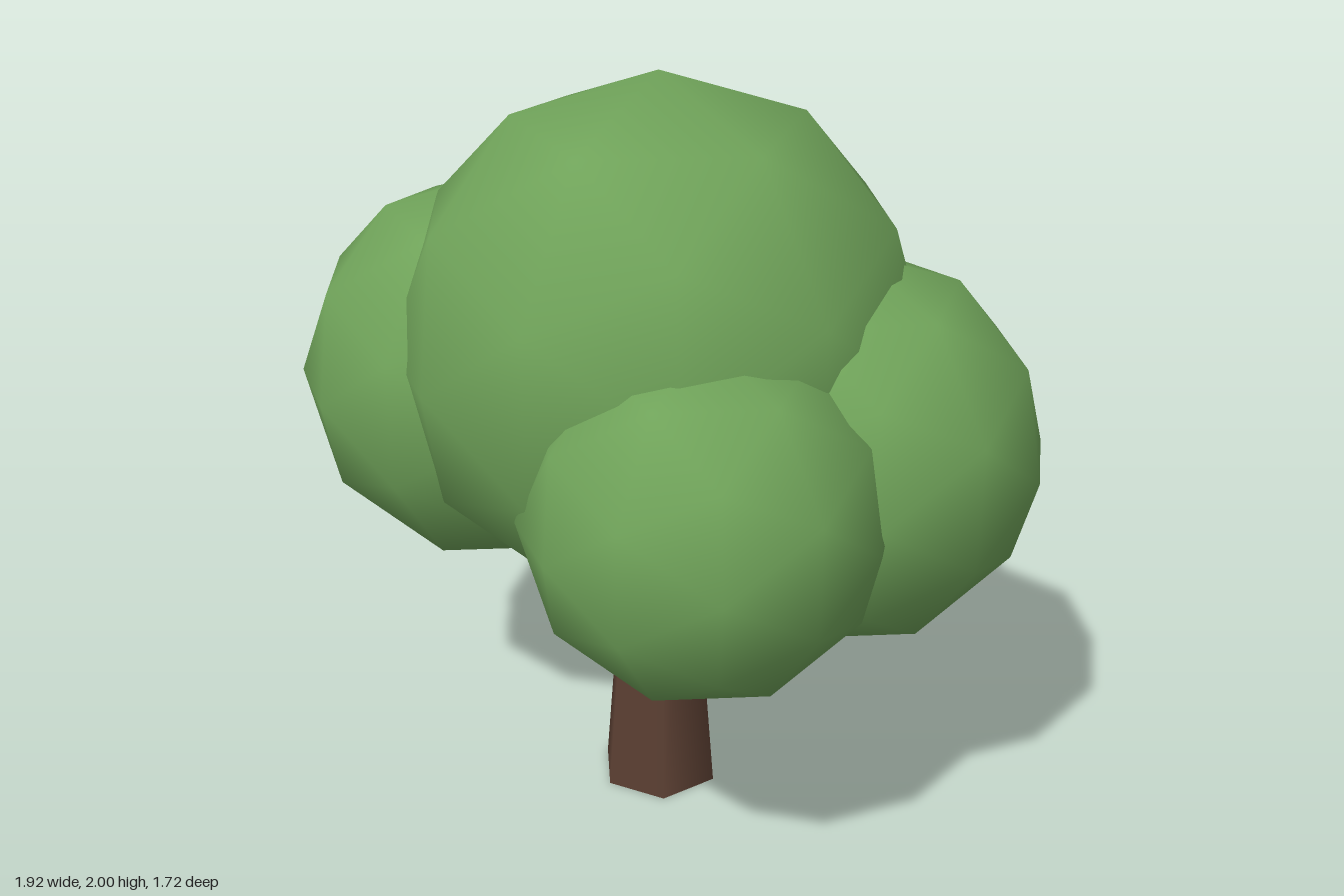
import * as THREE from 'three';

export function createModel() {
  const tree = new THREE.Group();
  tree.name = 'tree';
  const bark = new THREE.MeshStandardMaterial({ color: 0x5c4033 });
  const leaves = new THREE.MeshStandardMaterial({ color: 0x6fa259 });

  // Tapered six-sided trunk, its top hidden in the foliage
  const height = 0.85;
  const trunk = new THREE.Mesh(new THREE.CylinderGeometry(0.097, 0.17, height, 6), bark);
  trunk.name = 'trunk';
  trunk.position.set(-0.01, height / 2, -0.09);
  tree.add(trunk);

  // Overlapping foliage balls: name, radius, centre
  const balls = [
    ['crown', 0.69, [-0.01, 1.31, -0.09]],
    ['foliageBackRight', 0.53, [-0.43, 1.16, -0.33]],
    ['foliageLeft', 0.51, [0.45, 1.08, 0.095]],
    ['foliageFront', 0.45, [0.065, 1.045, 0.41]],
  ];
  for (const [name, radius, centre] of balls) {
    const ball = new THREE.Mesh(new THREE.IcosahedronGeometry(radius, 1), leaves);
    ball.name = name;
    ball.position.set(...centre);
    tree.add(ball);
  }
  return tree;
}
